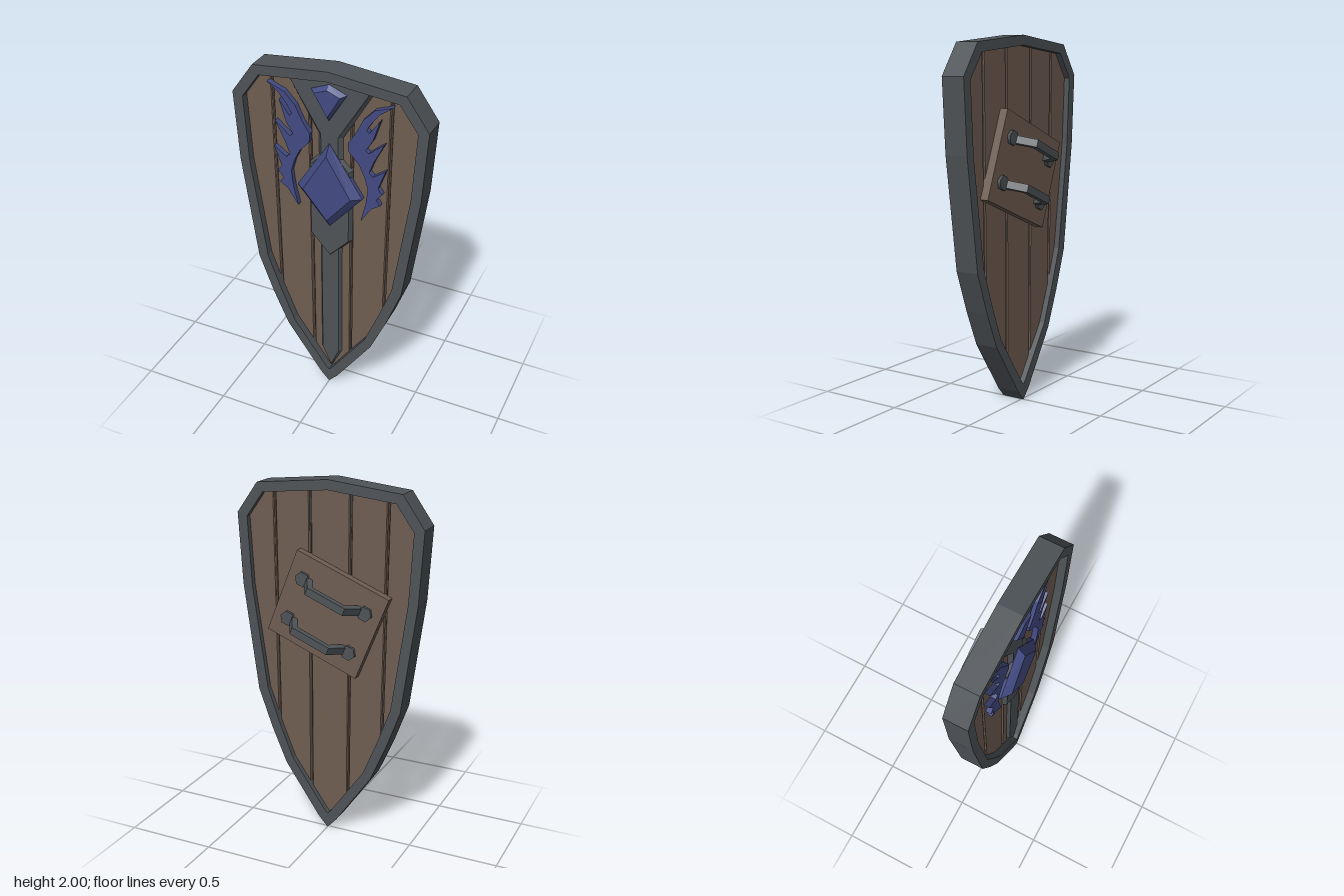
import * as THREE from 'three';

const wood = new THREE.MeshStandardMaterial({ color: 0x6f5d52 });
wood.name = 'brown wood';
const steel = new THREE.MeshStandardMaterial({ color: 0x4e5357 });
steel.name = 'dark steel';
const blue = new THREE.MeshStandardMaterial({ color: 0x424b82 });
blue.name = 'blue enamel';

const vec = (pts) => pts.map(([x, y]) => new THREE.Vector2(x, y));

// Full outline from its right half, listed from the top middle to the bottom tip
const mirrored = (half) => [
  ...half,
  ...half.filter(([x]) => x > 0).reverse().map(([x, y]) => [-x, y]),
];

// Flat plate between z0 and z1, with an optional chamfer [inset, depth].
// A hole must run the other way round from the outline.
function plate(name, pts, z0, z1, material, chamfer, hole) {
  const shape = new THREE.Shape(vec(pts));
  if (hole) shape.holes.push(new THREE.Path(vec(hole)));
  const [size, thick] = chamfer || [0, 0];
  const geo = new THREE.ExtrudeGeometry(shape, {
    depth: z1 - z0 - 2 * thick,
    bevelEnabled: !!chamfer,
    bevelSize: size,
    bevelOffset: -size,
    bevelThickness: thick,
    bevelSegments: 1,
  });
  geo.translate(0, 0, z0 + thick);
  const mesh = new THREE.Mesh(geo, material);
  mesh.name = name;
  return mesh;
}

// Keep the part of a polygon where side(point) is positive
function clip(pts, side) {
  const out = [];
  pts.forEach((p, i) => {
    const q = pts[(i + 1) % pts.length];
    const a = side(p), b = side(q);
    if (a >= 0) out.push(p);
    if (a * b < 0) {
      const t = a / (a - b);
      out.push([p[0] + (q[0] - p[0]) * t, p[1] + (q[1] - p[1]) * t]);
    }
  });
  return out;
}

const outerHalf = [
  [0, 2], [0.412, 1.957], [0.533, 1.787], [0.51, 1.395], [0.428, 0.787],
  [0.347, 0.563], [0.259, 0.358], [0.053, 0.058], [0, 0],
];
const innerHalf = [
  [0, 1.946], [0.378, 1.907], [0.476, 1.77], [0.455, 1.392], [0.372, 0.8],
  [0.296, 0.587], [0.217, 0.392], [0.02, 0.11], [0, 0.088],
];

function makePlanks() {
  const group = new THREE.Group();
  group.name = 'planks';
  // Outline that tucks under the rim
  const outline = mirrored(outerHalf.map(([x, y], i) => [
    (x + innerHalf[i][0]) / 2, (y + innerHalf[i][1]) / 2,
  ]));
  // Seams as [x at the bottom, x at the top]
  const seams = [[-0.9, -0.9], [-0.307, -0.327], [-0.112, -0.118], [0.116, 0.116], [0.311, 0.325], [0.9, 0.9]];
  const gap = 0.005;
  for (let i = 0; i < 5; i++) {
    const at = ([a, b], y) => a + (b - a) * y / 2;
    let pts = clip(outline, ([x, y]) => x - at(seams[i], y) - gap);
    pts = clip(pts, ([x, y]) => at(seams[i + 1], y) - gap - x);
    pts = pts.filter((p, k) => {
      const n = pts[(k + 1) % pts.length];
      return Math.hypot(p[0] - n[0], p[1] - n[1]) > 0.001;
    });
    group.add(plate('plank', pts, 0.02, 0.078, wood, [0.005, 0.006]));
  }
  return group;
}

function makeEmblem() {
  const group = new THREE.Group();
  group.name = 'emblem';
  group.add(
    // Steel spine: forked top, long blade and wide centre
    plate('forkedTop', mirrored([[0, 1.96], [0.245, 1.935], [0.07, 1.635], [0.07, 1.4], [0, 1.38]]),
      0.03, 0.1, steel, [0.022, 0.024]),
    plate('blade', mirrored([[0, 1.2], [0.064, 1.18], [0.064, 0.225], [0, 0.09]]),
      0.03, 0.096, steel, [0.014, 0.02]),
    plate('centrePiece', mirrored([[0, 1.54], [0.05, 1.53], [0.12, 1.455], [0.12, 1.022], [0, 0.893]]),
      0.03, 0.102, steel, [0.012, 0.024]),
    // Faceted gems
    plate('largeGem', [[0, 1.598], [-0.185, 1.313], [0, 1.098], [0.185, 1.313]],
      0.02, 0.142, blue, [0.04, 0.04]),
    plate('smallGem', [[0, 1.925], [-0.097, 1.885], [0, 1.727], [0.097, 1.885]],
      0.06, 0.128, blue, [0.02, 0.027]),
  );
  return group;
}

// Feathered wing, seen on the model's left side
const wingPts = [
  [0.34, 1.875], [0.245, 1.84], [0.185, 1.775], [0.15, 1.70], [0.106, 1.63],
  [0.11, 1.58], [0.165, 1.52], [0.197, 1.455], [0.217, 1.385], [0.207, 1.30],
  [0.18, 1.183], [0.24, 1.275], [0.286, 1.304], [0.264, 1.335], [0.296, 1.375],
  [0.272, 1.405], [0.312, 1.515], [0.243, 1.465], [0.222, 1.487], [0.25, 1.56],
  [0.302, 1.665], [0.218, 1.595], [0.202, 1.61], [0.238, 1.67],
  [0.276, 1.79], [0.218, 1.71], [0.205, 1.725], [0.235, 1.775], [0.275, 1.825],
];

function makeHandle(offset) {
  const group = new THREE.Group();
  group.name = 'handle';
  // Angled grip profile: x along the grip, y away from the board
  const arch = [
    [-0.18, 0], [-0.115, 0.114], [0.115, 0.114], [0.18, 0],
    [0.142, 0], [0.097, 0.079], [-0.097, 0.079], [-0.142, 0],
  ];
  const grip = plate('grip', arch, -0.021, 0.021, steel);
  grip.rotation.x = -Math.PI / 2;
  group.add(grip);
  for (const s of [-1, 1]) {
    const foot = new THREE.Mesh(new THREE.CylinderGeometry(0.042, 0.042, 0.022, 6), steel);
    foot.name = 'handleFoot';
    foot.rotation.set(Math.PI / 2, Math.PI / 2, 0);
    foot.position.set(s * 0.194, 0, -0.006);
    group.add(foot);
  }
  // Turn the grip to stand out behind the board
  group.rotation.y = Math.PI;
  grip.rotation.x = Math.PI / 2;
  group.children.slice(1).forEach((foot) => { foot.position.z = 0.006; });
  group.position.set(0, offset, -0.026);
  return group;
}

function makeGripBoard() {
  const group = new THREE.Group();
  group.name = 'gripBoard';
  const board = new THREE.Mesh(new THREE.BoxGeometry(0.566, 0.496, 0.052), wood);
  board.name = 'backBoard';
  group.add(board, makeHandle(0.118), makeHandle(-0.128));
  group.position.set(0, 1.285, 0);
  group.rotation.z = THREE.MathUtils.degToRad(21.8);
  return group;
}

export function createModel() {
  const model = new THREE.Group();
  model.name = 'shield';
  model.add(
    plate('rim', mirrored(outerHalf), -0.012, 0.122, steel, null, mirrored(innerHalf).reverse()),
    makePlanks(),
    makeEmblem(),
    plate('leftWing', wingPts, 0.07, 0.108, blue),
    plate('rightWing', wingPts.map(([x, y]) => [-x, y]), 0.07, 0.108, blue),
    makeGripBoard(),
  );
  return model;
}
